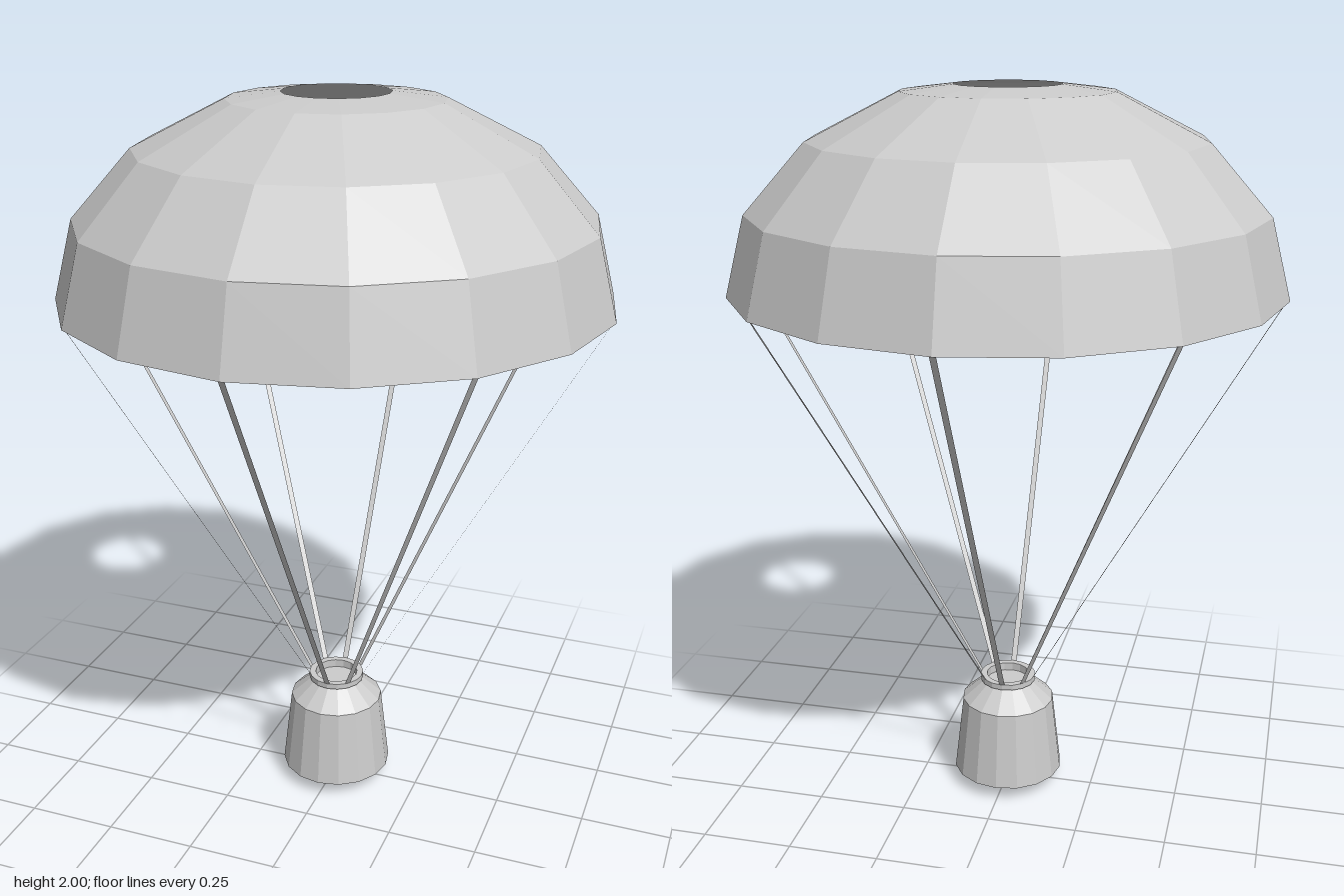
import * as THREE from 'three';

const SIDES = 16;
const LINES = 8;

const material = new THREE.MeshStandardMaterial({ color: 0xcccccc, flatShading: true });
const thinMaterial = new THREE.MeshStandardMaterial({
  color: 0xcccccc, flatShading: true, side: THREE.DoubleSide,
});

// Faceted part turned around the y axis from [radius, height] pairs, bottom to top
function turned(name, profile, mat) {
  const points = profile.map(([r, y]) => new THREE.Vector2(r, y));
  const mesh = new THREE.Mesh(new THREE.LatheGeometry(points, SIDES), mat);
  mesh.name = name;
  return mesh;
}

// Flat strap from the collar to the canopy rim, its width tangential to the rim
function suspensionLine(index) {
  const start = new THREE.Vector2(0.078, 0.335);
  const end = new THREE.Vector2(0.727, 1.475);
  const strap = new THREE.Mesh(new THREE.PlaneGeometry(0.016, start.distanceTo(end)), thinMaterial);
  strap.position.set(0, (start.y + end.y) / 2, (start.x + end.x) / 2);
  strap.rotation.x = Math.atan2(end.x - start.x, end.y - start.y);
  strap.name = 'strap';
  const pivot = new THREE.Group();
  pivot.name = 'suspensionLine' + (index + 1);
  pivot.rotation.y = (index / LINES) * Math.PI * 2;
  pivot.add(strap);
  return pivot;
}

export function createModel() {
  const model = new THREE.Group();
  model.name = 'parachuteCapsule';

  // Thin canopy with a vent hole at the crown
  model.add(turned('canopy', [
    [0.735, 1.475], [0.68, 1.685], [0.52, 1.863], [0.28, 1.983], [0.14, 2.0],
  ], thinMaterial));

  // Straps
  const lines = new THREE.Group();
  lines.name = 'suspensionLines';
  for (let i = 0; i < LINES; i++) lines.add(suspensionLine(i));
  model.add(lines);

  // Capsule: shallow domed base, tapered wall, sloped shoulder
  const capsule = new THREE.Group();
  capsule.name = 'capsule';
  capsule.add(turned('heatShield', [[0, 0], [0.095, 0.015], [0.157, 0.043]], material));
  capsule.add(turned('capsuleBody', [
    [0.157, 0.043], [0.132, 0.263], [0.07, 0.317],
  ], material));

  // Collar with a recessed hatch
  capsule.add(turned('collar', [
    [0.068, 0.317], [0.079, 0.319], [0.079, 0.335], [0.061, 0.335], [0.061, 0.312], [0, 0.312],
  ], material));
  model.add(capsule);

  return model;
}
